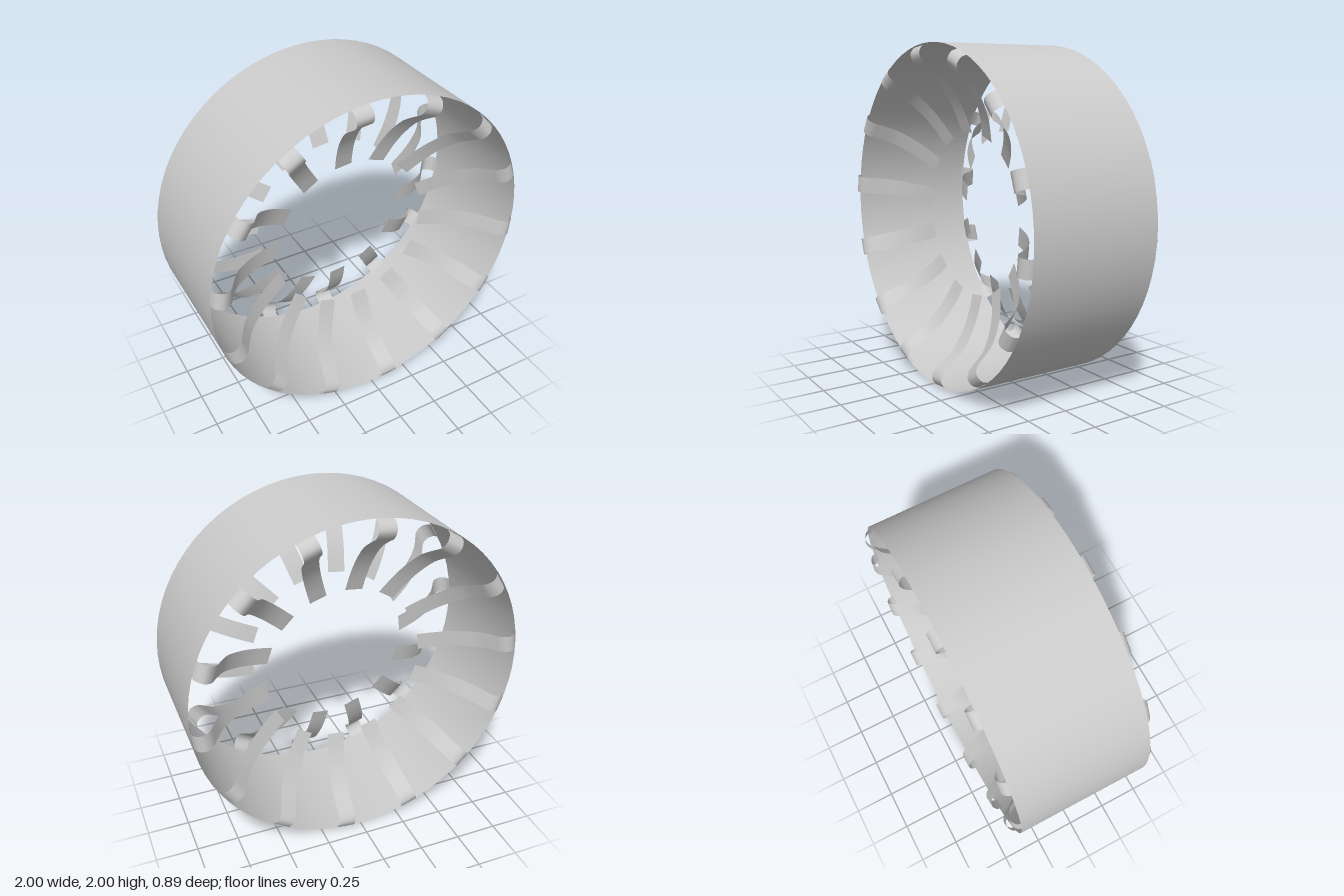
import * as THREE from 'three';

const material = new THREE.MeshStandardMaterial({ color: 0xcccccc, side: THREE.DoubleSide });
const COUNT = 14;     // strips on each side
const WIDTH = 0.105;  // strip width

// Thin ribbon following a (radius, depth) curve along +x
function ribbonGeometry() {
  const curve = new THREE.CatmullRomCurve3([
    [0.994, 0.39], [0.98, 0.425], [0.94, 0.445], [0.895, 0.425], [0.86, 0.375],
    [0.8, 0.295], [0.7, 0.22], [0.6, 0.17], [0.485, 0.13],
  ].map(([r, z]) => new THREE.Vector3(r, 0, z)));
  const steps = 32;
  const geometry = new THREE.PlaneGeometry(1, 1, steps, 2);
  const pos = geometry.attributes.position;
  for (let i = 0; i < pos.count; i++) {
    const p = curve.getPoint(pos.getX(i) + 0.5);
    pos.setXYZ(i, p.x, -pos.getY(i) * WIDTH, p.z);
  }
  geometry.computeVertexNormals();
  return geometry;
}

export function createModel() {
  const model = new THREE.Group();
  model.name = 'drumWithCurvedStrips';

  // Open outer shell
  const shell = new THREE.Mesh(
    new THREE.CylinderGeometry(1, 1, 0.81, 72, 1, true).rotateX(Math.PI / 2), material);
  shell.name = 'outerShell';
  shell.position.y = 1;
  model.add(shell);

  // Hooked strips round both rims; the back set mirrors the front
  const front = ribbonGeometry();
  const back = front.clone().scale(1, 1, -1);
  const index = back.index.array;
  for (let i = 0; i < index.length; i += 3) {
    [index[i], index[i + 1]] = [index[i + 1], index[i]];
  }
  back.computeVertexNormals();

  for (const [name, geometry] of [['frontStrip', front], ['backStrip', back]]) {
    const ring = new THREE.Group();
    ring.name = name + 'Ring';
    ring.position.y = 1;
    for (let i = 0; i < COUNT; i++) {
      const strip = new THREE.Mesh(geometry, material);
      strip.name = name;
      strip.rotation.z = Math.PI / 2 + (i + 0.25) * 2 * Math.PI / COUNT;
      ring.add(strip);
    }
    model.add(ring);
  }
  return model;
}
